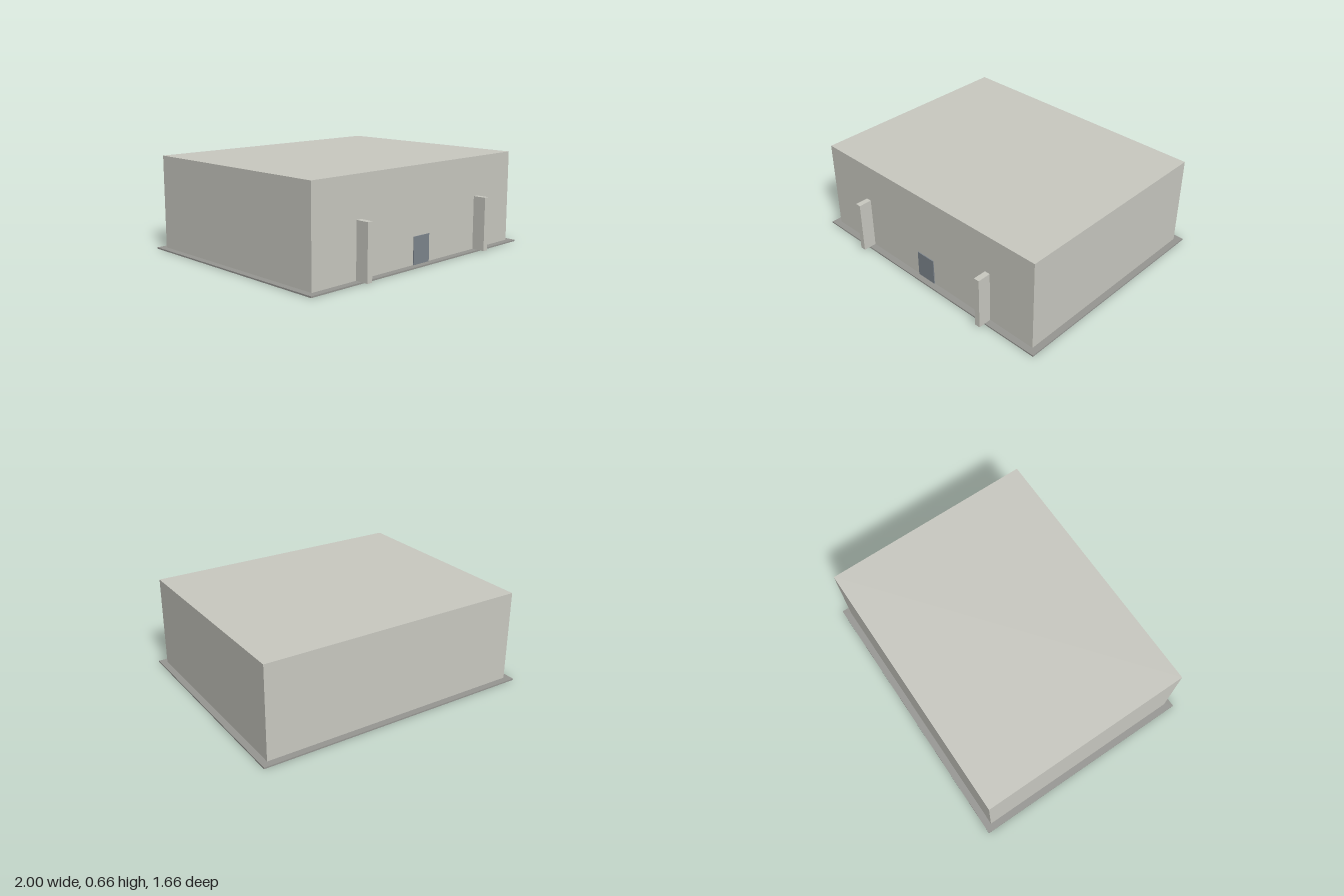
import * as THREE from 'three';

// Box given by its lower and upper bounds on each axis
function block(name, color, [x0, x1], [y0, y1], [z0, z1]) {
  const mesh = new THREE.Mesh(
    new THREE.BoxGeometry(x1 - x0, y1 - y0, z1 - z0),
    new THREE.MeshStandardMaterial({ color })
  );
  mesh.position.set((x0 + x1) / 2, (y0 + y1) / 2, (z0 + z1) / 2);
  mesh.name = name;
  return mesh;
}

export function createModel() {
  const group = new THREE.Group();
  group.name = 'building';
  const wall = 0xc8c8c0, slab = 0x969692, glass = 0x7c848c;
  const floor = 0.01;

  // Thin ground slab and main hall
  group.add(block('baseSlab', slab, [-1, 1], [0, floor], [-0.832, 0.784]));
  group.add(block('hall', wall, [-0.954, 0.954], [floor, 0.66], [-0.785, 0.737]));

  // Entrance door, slightly proud of the front wall
  group.add(block('door', glass, [-0.075, 0.075], [floor, 0.198], [0.731, 0.743]));

  // Pair of upright fins flanking the entrance
  for (const [side, name] of [[1, 'leftFin'], [-1, 'rightFin']]) {
    const x = side * 0.574;
    group.add(block(name, wall, [x - 0.02, x + 0.02], [floor, 0.384], [0.737, 0.832]));
  }
  return group;
}
